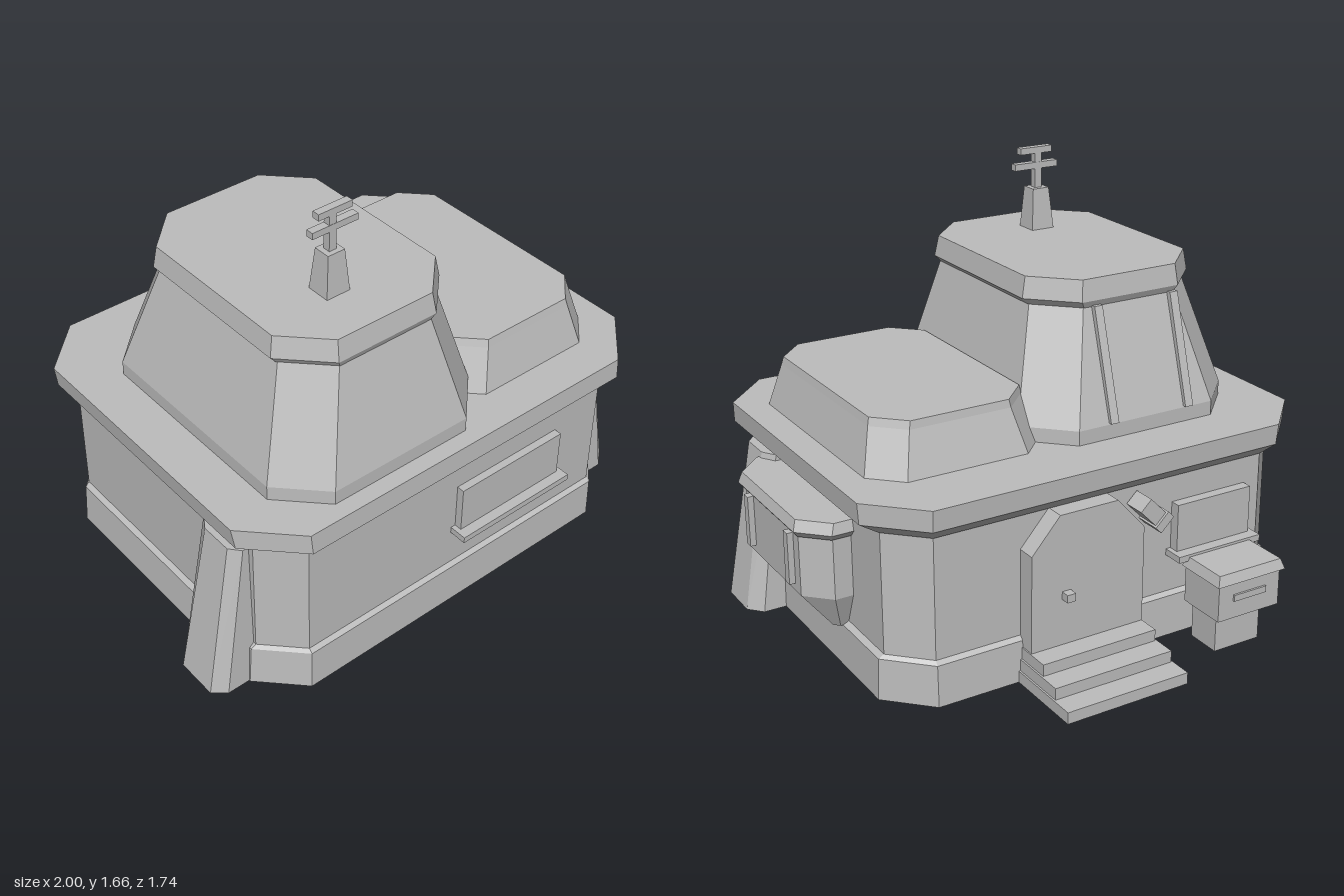
import * as THREE from 'three';

const stone = new THREE.MeshStandardMaterial({ color: 0xbdbdbd, side: THREE.DoubleSide });
stone.name = 'pale grey stone';

// Flat-faced solid through matching rings of [x, y, z], each counterclockwise from above
function loft(rings, bottom = true, top = true) {
  const pos = [];
  const tri = (...pts) => pts.forEach((p) => pos.push(...p));
  const n = rings[0].length;
  for (let r = 0; r < rings.length - 1; r++) {
    for (let i = 0; i < n; i++) {
      const j = (i + 1) % n, lo = rings[r], hi = rings[r + 1];
      tri(lo[i], lo[j], hi[j]);
      tri(lo[i], hi[j], hi[i]);
    }
  }
  const first = rings[0], last = rings[rings.length - 1];
  for (let i = 1; i < n - 1; i++) {
    if (bottom) tri(first[0], first[i + 1], first[i]);
    if (top) tri(last[0], last[i], last[i + 1]);
  }
  const g = new THREE.BufferGeometry();
  g.setAttribute('position', new THREE.Float32BufferAttribute(pos, 3));
  g.computeVertexNormals();
  return g;
}

// Rectangle with cut corners at height y
function octagon(y, x0, x1, z0, z1, c) {
  return [[x1, z1 - c], [x1, z0 + c], [x1 - c, z0], [x0 + c, z0],
    [x0, z0 + c], [x0, z1 - c], [x0 + c, z1], [x1 - c, z1]].map(([x, z]) => [x, y, z]);
}

function rect(y, x0, x1, z0, z1) {
  return [[x1, y, z1], [x1, y, z0], [x0, y, z0], [x0, y, z1]];
}

export function createModel() {
  const model = new THREE.Group();
  model.name = 'house';
  const add = (name, geometry) => {
    const mesh = new THREE.Mesh(geometry, stone);
    mesh.name = name;
    model.add(mesh);
    return mesh;
  };
  const box = (name, x0, x1, y0, y1, z0, z1) =>
    add(name, loft([rect(y0, x0, x1, z0, z1), rect(y1, x0, x1, z0, z1)]));

  // Hollow walls standing on a wider plinth, open underneath
  add('walls', loft([
    octagon(0, -0.86, 0.84, -0.55, 0.82, 0.155),
    octagon(0.16, -0.85, 0.835, -0.545, 0.815, 0.15),
    octagon(0.175, -0.832, 0.815, -0.53, 0.8, 0.132),
    octagon(0.64, -0.832, 0.815, -0.53, 0.8, 0.132),
  ], false, false));

  // Overhanging flat roof
  add('roofSlab', loft([
    octagon(0.64, -0.835, 0.82, -0.535, 0.803, 0.135),
    octagon(0.69, -0.905, 0.895, -0.59, 0.855, 0.18),
    octagon(0.77, -0.915, 0.9, -0.595, 0.85, 0.185),
  ]));

  // Tall tapering tower and its cap
  add('tower', loft([
    octagon(0.765, -0.735, 0.17, -0.385, 0.785, 0.16),
    octagon(0.825, -0.735, 0.17, -0.385, 0.785, 0.16),
    octagon(1.245, -0.615, 0.055, -0.255, 0.68, 0.14),
  ]));
  add('towerCap', loft([
    octagon(1.235, -0.62, 0.06, -0.26, 0.682, 0.145),
    octagon(1.26, -0.642, 0.085, -0.272, 0.692, 0.155),
    octagon(1.34, -0.628, 0.07, -0.26, 0.677, 0.148),
  ]));

  // Ribs up the back of the tower
  for (const x of [-0.465, -0.135]) {
    add('towerRib', loft([
      rect(0.83, x - 0.017, x + 0.017, -0.398, -0.36),
      rect(1.24, x - 0.017, x + 0.017, -0.278, -0.24),
    ]));
  }

  // Low roof block beside the tower
  add('lowRoof', loft([
    octagon(0.765, 0.09, 0.79, -0.35, 0.69, 0.11),
    octagon(0.935, 0.135, 0.745, -0.295, 0.645, 0.105),
    octagon(0.965, 0.14, 0.738, -0.29, 0.638, 0.105),
  ]));

  // Leaning buttresses on both sides
  for (const [side, foot] of [[1, 0.98], [-1, 1.0]]) {
    const ring = (y, out, z0, z1, cut) => {
      const pts = [[0.78, z1], [out - cut, z1], [out, z1 - 0.04], [out, z0 + 0.055],
        [out - cut, z0], [0.78, z0]].map(([x, z]) => [side * x, y, z]);
      return side > 0 ? pts : pts.reverse();
    };
    add('buttress', loft([ring(0, foot, 0.4, 0.66, 0.05), ring(0.625, foot - 0.11, 0.425, 0.645, 0.035)]));
  }

  // Bay window: body with a tapering underside, then a lid
  const bay = (y, out, z0, z1, c) => [[0.78, z1], [out - c, z1], [out, z1 - c], [out, z0 + c],
    [out - c, z0], [0.78, z0]].map(([x, z]) => [x, y, z]);
  add('bayBody', loft([
    bay(0.16, 0.865, -0.115, 0.425, 0.02),
    bay(0.3, 0.975, -0.17, 0.48, 0.09),
    bay(0.545, 0.975, -0.17, 0.48, 0.09),
  ]));
  add('bayLid', loft([
    bay(0.535, 0.98, -0.175, 0.485, 0.09),
    bay(0.56, 0.998, -0.195, 0.505, 0.1),
    bay(0.602, 0.985, -0.185, 0.495, 0.1),
  ]));
  for (const z of [0.338, -0.018]) box('baySlat', 0.97, 0.998, 0.33, 0.53, z - 0.017, z + 0.017);

  // Front and back windows with sills
  box('frontWindow', -0.025, 0.465, 0.34, 0.535, 0.78, 0.83);
  box('frontSill', -0.045, 0.485, 0.325, 0.35, 0.78, 0.87);
  box('backWindow', -0.63, -0.3, 0.34, 0.535, -0.57, -0.51);
  box('backSill', -0.65, -0.28, 0.325, 0.35, -0.615, -0.51);

  // Arched doorway, knob and steps
  const arch = new THREE.Shape([[0.345, 0], [0.345, 0.51], [0.23, 0.64], [-0.01, 0.64],
    [-0.125, 0.51], [-0.125, 0]].map(([x, y]) => new THREE.Vector2(x, y)));
  add('doorway', new THREE.ExtrudeGeometry(arch, { depth: 0.085, bevelEnabled: false }))
    .position.z = -0.605;
  box('doorKnob', 0.185, 0.22, 0.315, 0.345, -0.64, -0.6);
  for (let i = 0; i < 3; i++) {
    const grow = 0.007 * (2 - i);
    box('step', -0.125 - grow, 0.35 + grow, 0.045 * i, 0.045 * (i + 1), -0.87 + 0.09 * i, -0.55);
  }

  // Tilted lamp on the shoulder of the doorway
  const lamp = new THREE.Group();
  lamp.name = 'doorLamp';
  for (const [length, height, depth, x] of [[0.11, 0.06, 0.09, 0], [0.035, 0.075, 0.11, -0.055]]) {
    const part = new THREE.Mesh(new THREE.BoxGeometry(length, height, depth), stone);
    part.name = 'lampBlock';
    part.position.x = x;
    lamp.add(part);
  }
  lamp.position.set(-0.155, 0.56, -0.58);
  lamp.rotation.z = 0.8;
  model.add(lamp);

  // Letter box on a pedestal
  box('boxPedestal', -0.56, -0.36, 0, 0.16, -0.74, -0.6);
  box('boxBody', -0.6, -0.325, 0.155, 0.305, -0.795, -0.595);
  add('boxLid', loft([
    rect(0.3, -0.615, -0.312, -0.808, -0.59),
    rect(0.34, -0.602, -0.325, -0.795, -0.595),
  ]));
  box('boxSlot', -0.535, -0.39, 0.225, 0.25, -0.803, -0.79);

  // Aerial on the tower
  add('aerialBase', loft([
    rect(1.335, -0.375, -0.277, 0.4, 0.495),
    rect(1.5, -0.36, -0.29, 0.415, 0.482),
  ]));
  box('aerialPole', -0.34, -0.31, 1.495, 1.64, 0.435, 0.463);
  box('aerialLowerBar', -0.41, -0.22, 1.575, 1.6, 0.434, 0.464);
  box('aerialUpperBar', -0.385, -0.245, 1.635, 1.66, 0.434, 0.464);

  return model;
}
